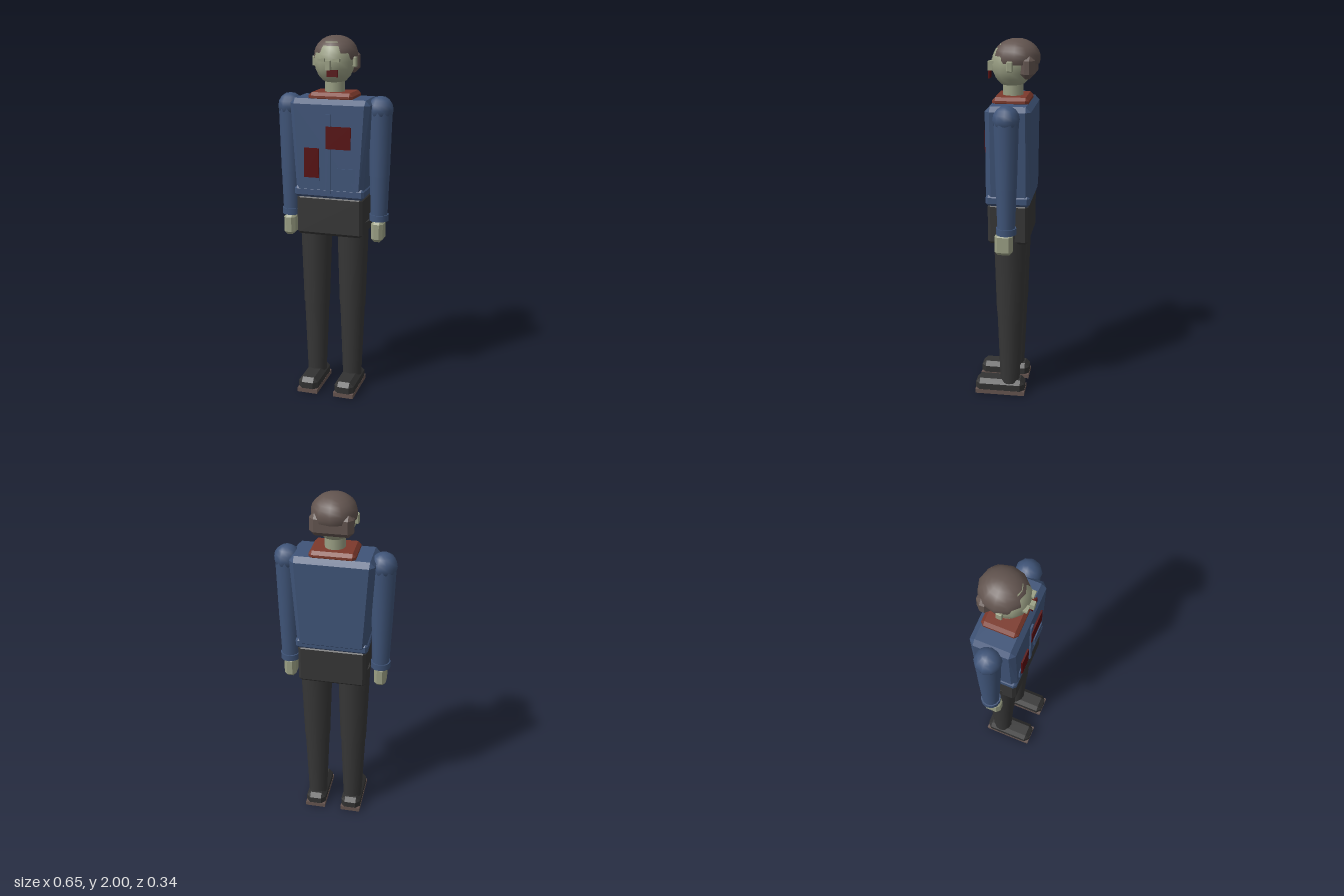
import * as THREE from 'three';
import { ConvexGeometry } from 'three/addons/geometries/ConvexGeometry.js';

const mat = (name, hex) => {
  const m = new THREE.MeshStandardMaterial({ color: hex });
  m.name = name;
  return m;
};

// Box with all edges chamfered, given by its limits; the bottom can be narrower in x
function chamferBox([x0, x1], [y0, y1], [z0, z1], c, bottomScale = 1) {
  const h = [(x1 - x0) / 2, (y1 - y0) / 2, (z1 - z0) / 2];
  const mid = [(x0 + x1) / 2, (y0 + y1) / 2, (z0 + z1) / 2];
  const points = [];
  for (const sx of [-1, 1]) for (const sy of [-1, 1]) for (const sz of [-1, 1])
    for (let axis = 0; axis < 3; axis++) {
      const p = [sx, sy, sz].map((s, i) => s * (h[i] - (i === axis ? 0 : c)));
      const t = (p[1] + h[1]) / (2 * h[1]);
      p[0] *= bottomScale + (1 - bottomScale) * t;
      points.push(new THREE.Vector3(p[0] + mid[0], p[1] + mid[1], p[2] + mid[2]));
    }
  return new ConvexGeometry(points);
}

function box([x0, x1], [y0, y1], [z0, z1]) {
  return new THREE.BoxGeometry(x1 - x0, y1 - y0, z1 - z0)
    .translate((x0 + x1) / 2, (y0 + y1) / 2, (z0 + z1) / 2);
}

// Upright limb section
function limb(x, yTop, yBottom, rTop, rBottom, z = -0.025) {
  return new THREE.CylinderGeometry(rTop, rBottom, yTop - yBottom, 12)
    .translate(x, (yTop + yBottom) / 2, z);
}

export function createModel() {
  const model = new THREE.Group();
  model.name = 'figure';
  const jacket = mat('jacketBlue', 0x3f5478);
  const trousers = mat('trouserBlack', 0x363636);
  const skin = mat('paleSkin', 0x9a9f84);
  const hair = mat('hairBrown', 0x62544f);
  const collar = mat('collarRed', 0x7c392c);
  const stain = mat('darkRed', 0x560a0c);
  const sole = mat('soleBrown', 0x65544f);
  const shoe = mat('shoeBlack', 0x323232);
  hair.side = THREE.DoubleSide;

  const add = (name, geometry, material, parent = model) => {
    const mesh = new THREE.Mesh(geometry, material);
    mesh.name = name;
    parent.add(mesh);
    return mesh;
  };

  // Torso
  add('torso', chamferBox([-0.223, 0.223], [1.15, 1.675], [-0.145, 0.095], 0.027, 0.84), jacket);
  add('hem', chamferBox([-0.196, 0.196], [1.14, 1.2], [-0.14, 0.096], 0.014), jacket);
  add('pelvis', chamferBox([-0.186, 0.186], [0.925, 1.15], [-0.132, 0.087], 0.016), trousers);
  add('collar', chamferBox([-0.122, 0.122], [1.66, 1.707], [-0.122, 0.071], 0.017), collar);
  add('neck', limb(0, 1.79, 1.66, 0.055, 0.055), skin);

  // Jacket front
  add('zip', box([-0.013, 0.013], [1.17, 1.6], [0.09, 0.104]), jacket);
  for (const s of [-1, 1])
    add('pocket', box([s * 0.1 - 0.052, s * 0.1 + 0.052], [1.235, 1.31], [0.092, 0.101]), jacket);
  add('largeStain', box([-0.012, 0.125], [1.415, 1.535], [0.099, 0.108]), stain);
  add('tallStain', box([-0.133, -0.05], [1.255, 1.415], [0.099, 0.108]), stain);

  // Head
  const head = new THREE.Group();
  head.name = 'head';
  model.add(head);
  add('skull', new THREE.SphereGeometry(1, 12, 10).scale(0.11, 0.125, 0.112)
    .translate(0, 1.868, -0.022), skin, head);
  add('hairCap', new THREE.SphereGeometry(1, 12, 8, 0, Math.PI * 2, 0, Math.PI * 0.6)
    .scale(0.119, 0.098, 0.124).translate(0, 1.902, -0.046), hair, head);
  add('backHair', chamferBox([-0.112, 0.112], [1.8, 1.92], [-0.148, -0.072], 0.026), hair, head);
  add('nose', box([-0.013, 0.013], [1.83, 1.878], [0.07, 0.11]), skin, head);
  add('mouth', box([-0.006, 0.053], [1.795, 1.831], [0.092, 0.101]), stain, head);
  for (const s of [-1, 1]) {
    add('eye', box([s * 0.04 - 0.018, s * 0.04 + 0.018], [1.871, 1.887], [0.07, 0.093]), skin, head);
    add('ear', chamferBox([s * 0.11 - 0.012, s * 0.11 + 0.012], [1.838, 1.892], [-0.038, -0.006], 0.004), skin, head);
  }

  for (const s of [-1, 1]) {
    const side = s > 0 ? 'left' : 'right';

    // Arms
    const arm = new THREE.Group();
    arm.name = side + 'Arm';
    model.add(arm);
    const x = s * 0.253;
    add('shoulder', new THREE.SphereGeometry(0.071, 10, 8).translate(x, 1.62, -0.025), jacket, arm);
    add('upperArm', limb(x, 1.62, 1.26, 0.066, 0.056), jacket, arm);
    add('forearm', limb(x, 1.26, 1.03, 0.055, 0.047), jacket, arm);
    add('cuff', limb(x, 1.045, 1.01, 0.054, 0.054), jacket, arm);
    add('hand', chamferBox([x - 0.033, x + 0.033], [0.895, 1.015], [-0.06, 0.036], 0.018), skin, arm);

    // Legs
    const leg = new THREE.Group();
    leg.name = side + 'Leg';
    model.add(leg);
    const lx = s * 0.106;
    add('thigh', limb(lx, 1.0, 0.505, 0.091, 0.075), trousers, leg);
    add('shin', limb(lx, 0.505, 0.07, 0.072, 0.055), trousers, leg);
    add('shoe', chamferBox([lx - 0.057, lx + 0.057], [0, 0.088], [-0.112, 0.168], 0.024), shoe, leg);
    add('sole', box([lx - 0.058, lx + 0.058], [0.002, 0.027], [-0.113, 0.169]), sole, leg);
  }
  return model;
}
